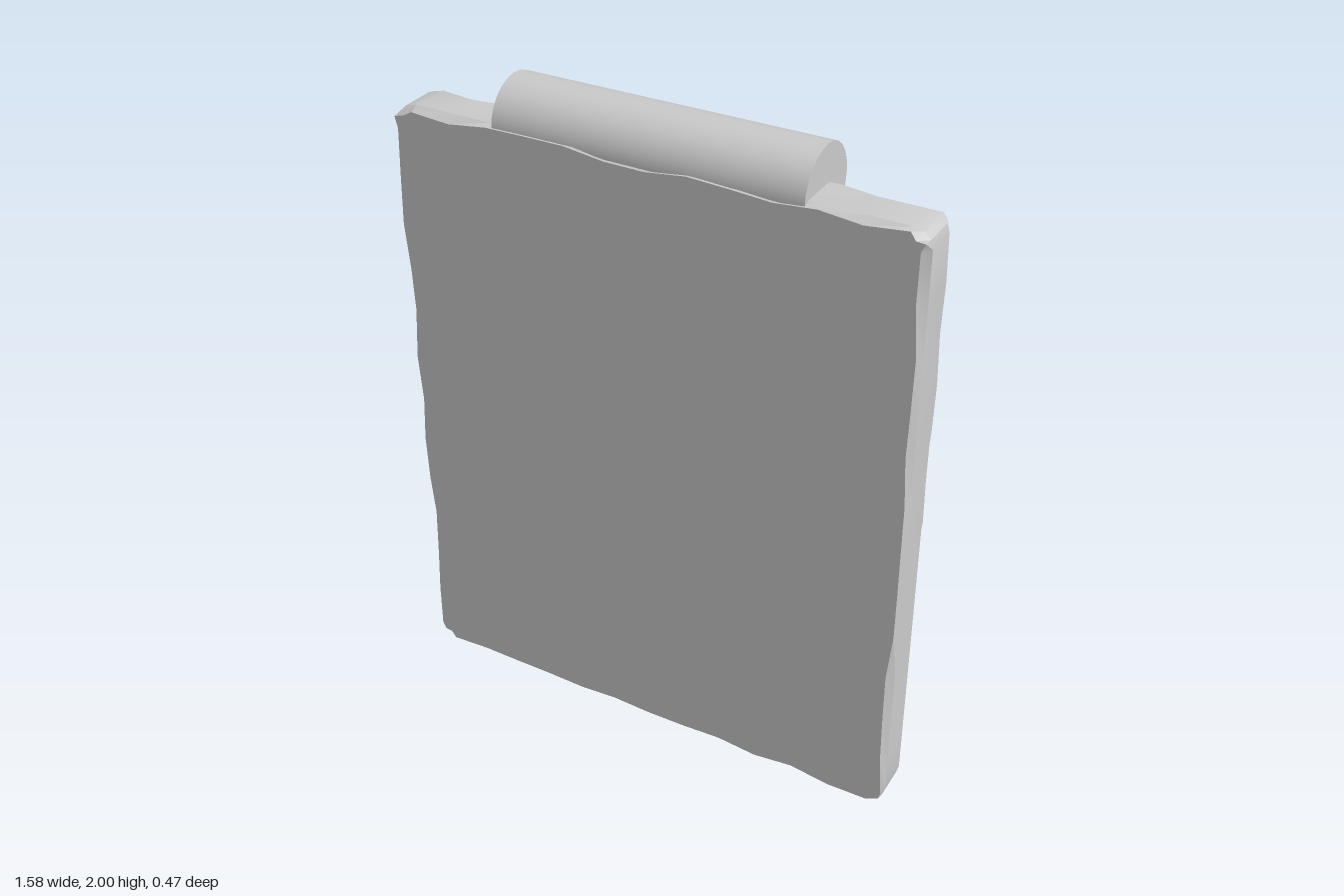
import * as THREE from 'three';
import { toCreasedNormals } from 'three/addons/utils/BufferGeometryUtils.js';

const material = new THREE.MeshStandardMaterial({ color: 0xcccccc });

function addMesh(parent, name, geometry) {
  const mesh = new THREE.Mesh(geometry, material);
  mesh.name = name;
  parent.add(mesh);
  return mesh;
}

// Seeded random numbers for the worn edges
function seeded(seed) {
  return () => {
    seed = (seed * 16807) % 2147483647;
    return seed / 2147483647;
  };
}

// Outline of the slab, counterclockwise seen from the front
function slabOutline() {
  const W = 0.79, H = 1.89, steps = 12;
  const corners = [
    { x: W, y: 0, r: 0.05, a: -Math.PI / 2 },
    { x: W, y: H, r: 0.05, a: 0 },
    { x: -W, y: H, r: 0.07, a: Math.PI / 2 },
    { x: -W, y: 0, r: 0.05, a: Math.PI },
  ];
  const arcs = corners.map(({ x, y, r, a }) => {
    const cx = x - Math.sign(x) * r, cy = y === 0 ? r : y - r;
    return [0, 1, 2, 3].map((i) => {
      const t = a + (i / 3) * Math.PI / 2;
      return new THREE.Vector2(cx + r * Math.cos(t), cy + r * Math.sin(t));
    });
  });
  const points = [];
  arcs.forEach((arc, k) => {
    points.push(...arc);
    const next = arcs[(k + 1) % 4][0];
    for (let i = 1; i < steps; i++) points.push(arc[3].clone().lerp(next, i / steps));
  });
  return points;
}

// Slab built from four outlines in depth; the outer two are chipped inward
function slabGeometry() {
  const outline = slabOutline(), n = outline.length;
  const random = seeded(41);
  const layers = [
    { z: 0.09, inset: 0.022 }, { z: 0.112, inset: 0 },
    { z: 0.215, inset: 0 }, { z: 0.24, inset: 0.022 },
  ];
  const positions = [], index = [];
  for (const { z, inset } of layers) {
    outline.forEach((p, i) => {
      const before = outline[(i + n - 1) % n], after = outline[(i + 1) % n];
      const inward = new THREE.Vector2(before.y - after.y, after.x - before.x).normalize();
      const d = inset * (0.1 + 0.9 * random() ** 1.5);
      positions.push(p.x + inward.x * d, p.y + inward.y * d, z);
    });
  }
  for (let k = 0; k < layers.length - 1; k++) {
    for (let i = 0; i < n; i++) {
      const a = k * n + i, b = k * n + (i + 1) % n;
      index.push(a, b, b + n, a, b + n, a + n);
    }
  }
  // Front and back faces
  const back = positions.length / 3, last = (layers.length - 1) * n;
  positions.push(0, 0.945, 0.09, 0, 0.945, 0.24);
  for (let i = 0; i < n; i++) {
    const j = (i + 1) % n;
    index.push(back, j, i, back + 1, last + i, last + j);
  }
  const geometry = new THREE.BufferGeometry();
  geometry.setAttribute('position', new THREE.Float32BufferAttribute(positions, 3));
  geometry.setIndex(index);
  return toCreasedNormals(geometry, 0.4);
}

// Ring with a few small dents pressed toward the centre of the tube
function ringGeometry() {
  const R = 0.45, r = 0.115;
  const geometry = new THREE.TorusGeometry(R, r, 12, 36);
  const dents = [[-0.51, -0.03, -0.1], [-0.2, -0.47, -0.08], [0.16, -0.53, -0.05]]
    .map((d) => new THREE.Vector3(...d));
  const position = geometry.attributes.position;
  const v = new THREE.Vector3();
  for (let i = 0; i < position.count; i++) {
    v.fromBufferAttribute(position, i);
    const core = new THREE.Vector3(v.x, v.y, 0).setLength(R);
    for (const dent of dents) {
      const near = Math.max(0, 1 - v.distanceTo(dent) / 0.06);
      v.lerp(core, 0.3 * near);
    }
    position.setXYZ(i, v.x, v.y, v.z);
  }
  geometry.computeVertexNormals();
  return toCreasedNormals(geometry, 0.8);
}

// Side profile of a bracket: x is the distance behind the slab, y is height
function bracketGeometry() {
  const shape = new THREE.Shape();
  shape.moveTo(-0.02, 1.06);
  shape.lineTo(0.27, 1.06);
  shape.quadraticCurveTo(0.31, 1.07, 0.325, 1.11);
  shape.lineTo(0.325, 1.3);
  shape.quadraticCurveTo(0.27, 1.37, 0.19, 1.385);
  shape.lineTo(-0.02, 1.385);
  shape.closePath();
  const hole = new THREE.Path();
  hole.moveTo(0.02, 1.1);
  hole.lineTo(0.02, 1.335);
  hole.lineTo(0.18, 1.335);
  hole.lineTo(0.28, 1.28);
  hole.lineTo(0.28, 1.13);
  hole.lineTo(0.25, 1.1);
  hole.closePath();
  shape.holes.push(hole);
  const geometry = new THREE.ExtrudeGeometry(shape, { depth: 0.065, bevelEnabled: false, curveSegments: 4 });
  geometry.translate(0, 0, -0.0325);
  geometry.rotateY(Math.PI / 2);
  return geometry.translate(0, 0, 0.09);
}

export function createModel() {
  const model = new THREE.Group();
  model.name = 'trapdoorSlab';

  addMesh(model, 'slab', slabGeometry());

  // Hinge barrel along the top edge
  const barrel = new THREE.CylinderGeometry(0.122, 0.122, 0.92, 24);
  barrel.rotateZ(Math.PI / 2);
  addMesh(model, 'hingeBarrel', barrel).position.set(0, 1.878, 0.114);

  // Pull ring hanging from two brackets on the back
  addMesh(model, 'pullRing', ringGeometry()).position.set(0, 0.765, -0.08);
  for (const side of [-1, 1]) {
    const name = side > 0 ? 'leftBracket' : 'rightBracket';
    addMesh(model, name, bracketGeometry()).position.x = side * 0.157;
  }
  return model;
}
